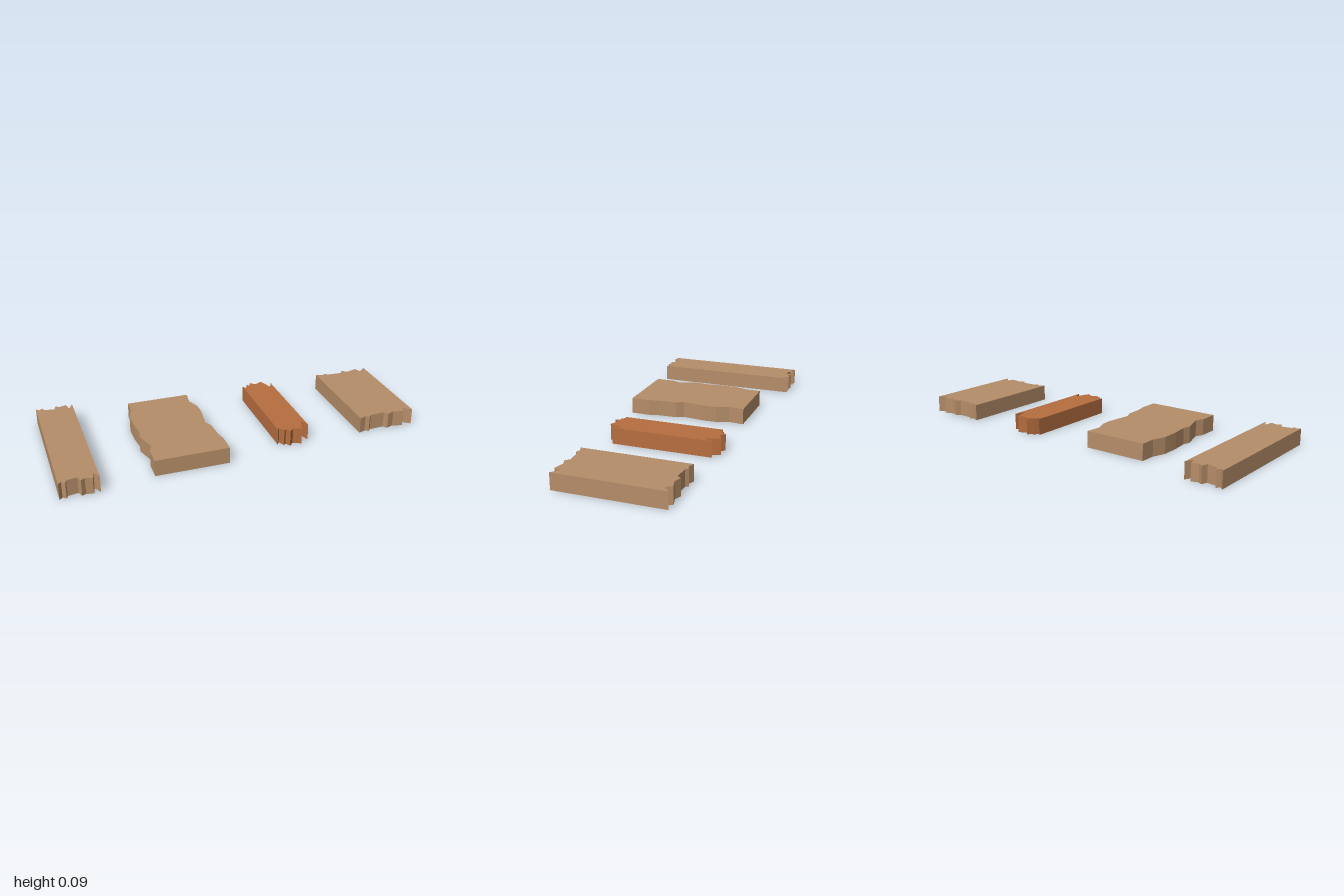
import * as THREE from 'three';

const THICKNESS = 0.09;

// Extrudes an outline of [x, z] points upward from the ground
function plank(name, outline, material) {
  const shape = new THREE.Shape(outline.map(([x, z]) => new THREE.Vector2(x, -z)));
  const geometry = new THREE.ExtrudeGeometry(shape, { depth: THICKNESS, bevelEnabled: false });
  geometry.rotateX(-Math.PI / 2);
  const mesh = new THREE.Mesh(geometry, material);
  mesh.name = name;
  return mesh;
}

// Straight-sided board whose two ragged ends mirror each other:
// profile holds [x, distance of the end from the board's middle]
function brokenBoard(name, profile, middle, material) {
  const back = profile.map(([x, d]) => [x, middle - d]);
  const front = profile.map(([x, d]) => [x, middle + d]).reverse();
  return plank(name, [...back, ...front], material);
}

export function createModel() {
  const group = new THREE.Group();
  group.name = 'brokenPlanks';
  const paleWood = new THREE.MeshStandardMaterial({ color: 0xb58d68 });
  paleWood.name = 'paleWood';
  const redWood = new THREE.MeshStandardMaterial({ color: 0xb66e3f });
  redWood.name = 'redWood';

  // Long narrow board
  group.add(brokenBoard('longBoard', [
    [-1, 0.408], [-0.983, 0.392], [-0.965, 0.408], [-0.957, 0.386], [-0.902, 0.376],
    [-0.89, 0.408], [-0.869, 0.396], [-0.832, 0.408], [-0.82, 0.36], [-0.797, 0.406],
  ], 0, paleWood));

  // Wide board with worn long sides and straight ends
  group.add(plank('wideBoard', [
    [-0.495, -0.31], [-0.497, -0.225], [-0.522, -0.15], [-0.521, -0.05], [-0.511, 0.04],
    [-0.522, 0.083], [-0.488, 0.2], [-0.507, 0.245], [-0.509, 0.35],
    [-0.108, 0.35], [-0.108, 0.245], [-0.12, 0.19], [-0.125, 0.085], [-0.146, 0.045],
    [-0.127, -0.09], [-0.13, -0.155], [-0.156, -0.225], [-0.146, -0.31],
  ], paleWood));

  // Small splintered board
  group.add(brokenBoard('smallBoard', [
    [0.198, 0.278], [0.212, 0.258], [0.228, 0.294], [0.241, 0.284], [0.256, 0.312],
    [0.281, 0.288], [0.324, 0.309], [0.353, 0.224], [0.374, 0.278],
  ], -0.023, redWood));

  // Short board
  group.add(brokenBoard('shortBoard', [
    [0.678, 0.297], [0.714, 0.283], [0.735, 0.294], [0.749, 0.279], [0.832, 0.274],
    [0.849, 0.296], [0.888, 0.281], [0.944, 0.296], [0.957, 0.258], [1, 0.294],
  ], -0.014, paleWood));

  return group;
}
